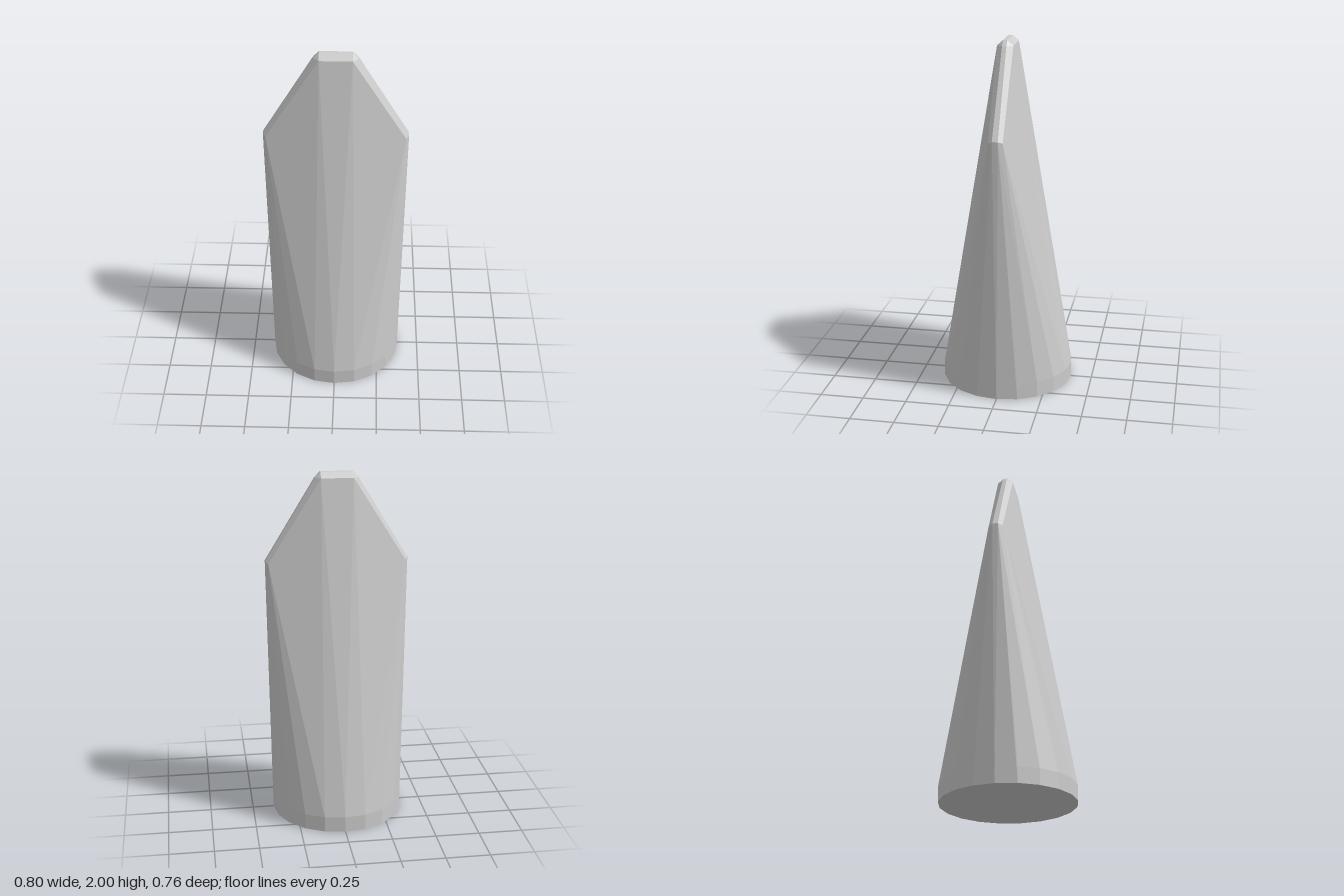
import * as THREE from 'three';
import { ConvexGeometry } from 'three/addons/geometries/ConvexGeometry.js';

export function createModel() {
  const group = new THREE.Group();
  const points = [];

  // Round foot: a short 20-sided band
  const sides = 20, radius = 0.378;
  for (let i = 0; i < sides; i++) {
    const a = (i / sides) * Math.PI * 2;
    for (const y of [0, 0.09]) {
      points.push(new THREE.Vector3(radius * Math.cos(a), y, radius * Math.sin(a)));
    }
  }

  // Thin bevelled tip, mirrored in x and z
  const tip = [
    [0.40, 1.51, 0.016],  // shoulder, outer edge
    [0.385, 1.50, 0.04],  // shoulder, bevel
    [0.12, 1.97, 0.012],  // top corner, outer edge
    [0.09, 1.97, 0.045],  // top corner, bevel
    [0.09, 2.00, 0.012],  // top ridge
  ];
  for (const [x, y, z] of tip) {
    for (const sx of [-1, 1]) {
      for (const sz of [-1, 1]) points.push(new THREE.Vector3(sx * x, y, sz * z));
    }
  }

  // Faceted body spanning the foot and the tip
  const body = new THREE.Mesh(
    new ConvexGeometry(points),
    new THREE.MeshStandardMaterial({ color: 0xcccccc, flatShading: true })
  );
  body.name = 'taperedBody';
  group.add(body);
  return group;
}
